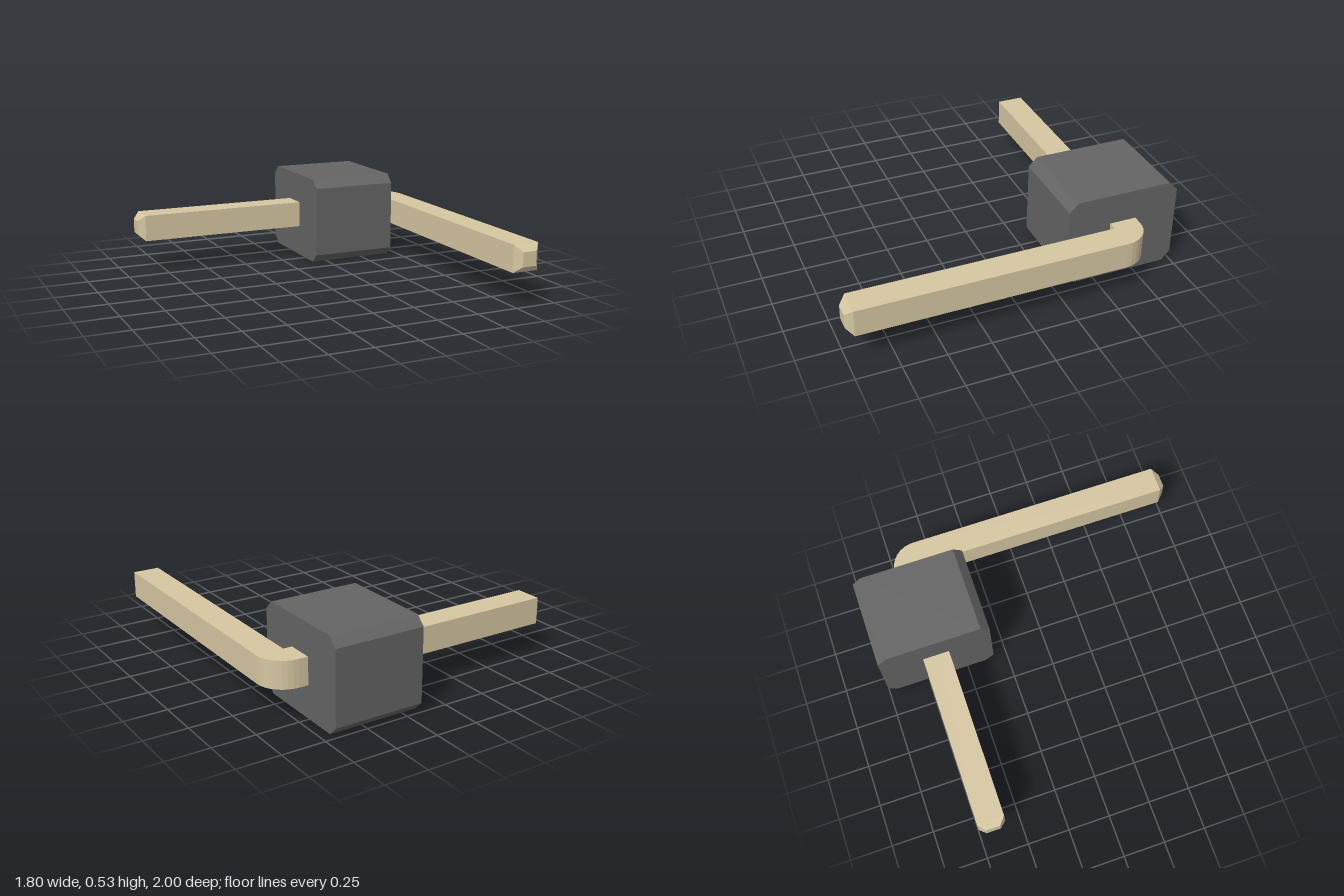
import * as THREE from 'three';

// Chamfered block, extruded along x
function makeBody() {
  const w = 0.335, h = 0.265, c = 0.052, length = 0.53;
  const shape = new THREE.Shape([
    [w - c, -h], [w, c - h], [w, h - c], [w - c, h],
    [c - w, h], [-w, h - c], [-w, c - h], [c - w, -h],
  ].map(([x, y]) => new THREE.Vector2(x, y)));
  const geometry = new THREE.ExtrudeGeometry(shape, { depth: length, bevelEnabled: false });
  geometry.rotateY(Math.PI / 2);
  const mesh = new THREE.Mesh(geometry, new THREE.MeshStandardMaterial({ color: 0x646464, flatShading: true }));
  mesh.name = 'housing';
  mesh.position.set(0.16, h, -0.665);
  return mesh;
}

// Square pin swept through a right angle, with tapered tips
function makePin() {
  const half = 0.079, tip = 0.042, y = 0.269, width = 2 * half;
  const cornerX = 0.742, cornerZ = -0.588; // inside corner of the bend
  const midZ = cornerZ - half, midX = cornerX + half;
  const rings = [];
  // A square section between an outer and an inner edge
  const ring = (ox, oz, ix, iz, h) => rings.push([
    new THREE.Vector3(ox, y + h, oz), new THREE.Vector3(ix, y + h, iz),
    new THREE.Vector3(ix, y - h, iz), new THREE.Vector3(ox, y - h, oz),
  ]);

  ring(-0.904, midZ - tip, -0.904, midZ + tip, tip);
  ring(-0.864, midZ - half, -0.864, midZ + half, half);
  const steps = 8;
  for (let i = 0; i <= steps; i++) {
    const a = (i / steps) * Math.PI / 2;
    ring(cornerX + width * Math.sin(a), cornerZ - width * Math.cos(a), cornerX, cornerZ, half);
  }
  ring(midX + half, 0.96, midX - half, 0.96, half);
  ring(midX + tip, 1, midX - tip, 1, tip);

  const points = [];
  const triangle = (a, b, c) => {
    if (new THREE.Triangle(a, b, c).getArea() > 1e-8) points.push(a, b, c);
  };
  const quad = (a, b, c, d) => { triangle(a, b, c); triangle(a, c, d); };
  for (let i = 0; i < rings.length - 1; i++) {
    const p = rings[i], q = rings[i + 1];
    for (let k = 0; k < 4; k++) {
      const n = (k + 1) % 4;
      quad(p[k], p[n], q[n], q[k]);
    }
  }
  quad(...[...rings[0]].reverse());
  quad(...rings[rings.length - 1]);

  const geometry = new THREE.BufferGeometry().setFromPoints(points);
  geometry.computeVertexNormals();
  const mesh = new THREE.Mesh(geometry, new THREE.MeshStandardMaterial({ color: 0xd6c6a2, flatShading: true }));
  mesh.name = 'bentPin';
  return mesh;
}

export function createModel() {
  const model = new THREE.Group();
  model.name = 'rightAnglePinHeader';
  model.add(makeBody(), makePin());
  return model;
}
